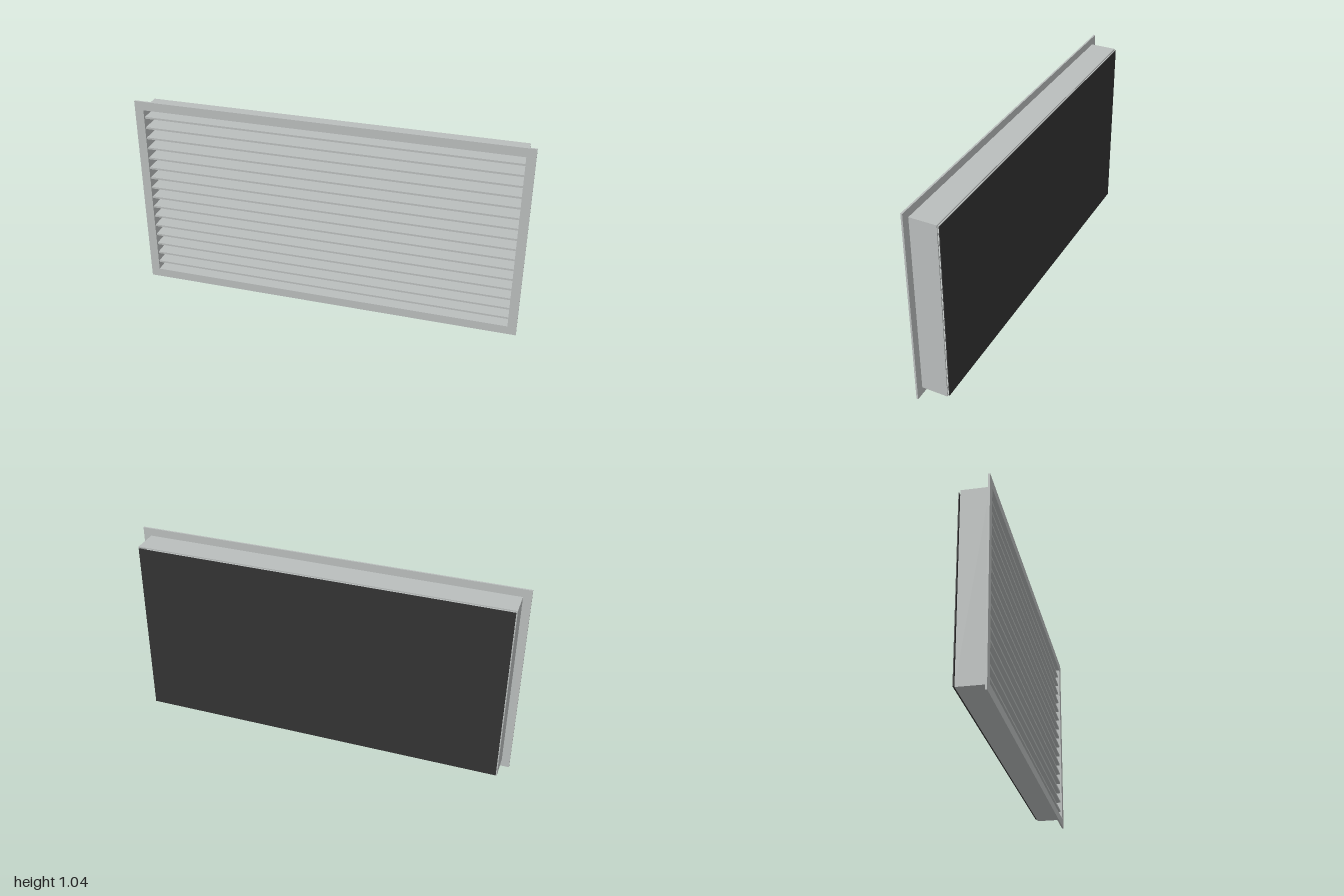
import * as THREE from 'three';

const MID_Y = 0.519;

// Rectangular ring, extruded from z0 to z1
function ring(w, h, innerW, innerH, z0, z1) {
  const s = new THREE.Shape();
  s.moveTo(-w / 2, -h / 2).lineTo(w / 2, -h / 2).lineTo(w / 2, h / 2).lineTo(-w / 2, h / 2).closePath();
  const hole = new THREE.Path();
  hole.moveTo(-innerW / 2, -innerH / 2).lineTo(-innerW / 2, innerH / 2)
    .lineTo(innerW / 2, innerH / 2).lineTo(innerW / 2, -innerH / 2).closePath();
  s.holes.push(hole);
  const g = new THREE.ExtrudeGeometry(s, { depth: z1 - z0, bevelEnabled: false });
  return g.translate(0, MID_Y, z0);
}

export function createModel() {
  const model = new THREE.Group();
  model.name = 'ventilationGrille';

  const metal = new THREE.MeshStandardMaterial({ color: 0xbabebd });
  metal.name = 'pale grey metal';
  const dark = new THREE.MeshStandardMaterial({ color: 0x333333 });
  dark.name = 'dark grey screen';

  const add = (name, geometry, material, parent = model) => {
    const mesh = new THREE.Mesh(geometry, material);
    mesh.name = name;
    parent.add(mesh);
    return mesh;
  };

  // Flat front flange and the thin-walled duct collar behind it
  add('frontFlange', ring(2, 1.038, 1.908, 0.946, 0.068, 0.077), metal);
  add('ductCollar', ring(1.918, 0.957, 1.908, 0.946, -0.067, 0.068), metal);

  // Evenly spaced horizontal slats
  const slats = new THREE.Group();
  slats.name = 'slats';
  model.add(slats);
  const slatGeometry = new THREE.BoxGeometry(1.908, 0.01, 0.135);
  const count = 16, pitch = 0.0572;
  for (let i = 0; i < count; i++) {
    add(`slat${i + 1}`, slatGeometry, metal, slats)
      .position.set(0, MID_Y + (i - (count - 1) / 2) * pitch, 0.0005);
  }

  // Thin screen just clear of the back of the collar
  add('rearScreen', new THREE.BoxGeometry(1.908, 0.944, 0.004), dark)
    .position.set(0, MID_Y, -0.075);

  return model;
}
